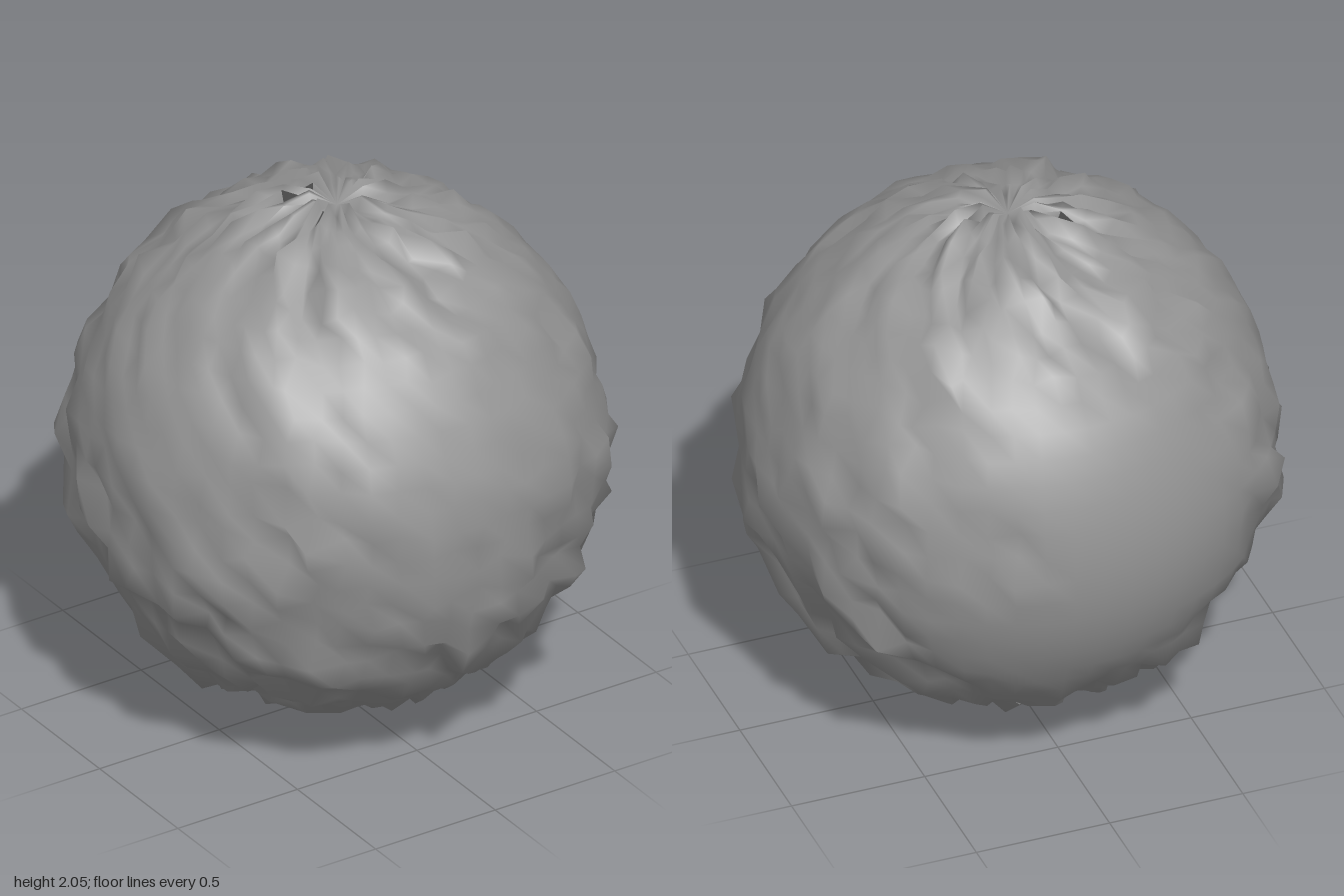
import * as THREE from 'three';
import { mergeVertices } from 'three/addons/utils/BufferGeometryUtils.js';

// Small seeded generator
function seeded(seed) {
  return () => {
    seed = (seed * 1664525 + 1013904223) % 4294967296;
    return seed / 4294967296;
  };
}

const smooth = THREE.MathUtils.smoothstep;

// Directions of the chipped hollows
const CHIPS = [
  [-0.1, -0.38, 0.92], [0.42, -0.15, 0.89], [-0.42, -0.32, 0.85], [0.03, -0.12, 0.99],
  [0.92, -0.3, -0.25], [0.05, 0.88, 0.47], [0.95, 0.3, -0.06], [0.78, 0.4, -0.49],
  [0.42, 0.13, -0.9], [-0.97, 0.07, -0.19],
].map(([x, y, z]) => new THREE.Vector3(x, y, z).normalize());

// How strongly a direction lies within a chip, from 0 to 1
function chipped(d) {
  return Math.max(...CHIPS.map((chip) => smooth(d.dot(chip), 0.975, 0.995)));
}

// Sphere with a welded seam, roughened everywhere except a smooth back patch
function boulderGeometry() {
  const sphere = new THREE.SphereGeometry(1, 56, 32);
  sphere.deleteAttribute('uv');
  sphere.deleteAttribute('normal');
  const geometry = mergeVertices(sphere, 1e-4);
  const pos = geometry.attributes.position;
  const random = seeded(71);
  const d = new THREE.Vector3();

  for (let i = 0; i < pos.count; i++) {
    d.fromBufferAttribute(pos, i).normalize();
    const a = random(), b = random() - 0.5, c = random() - 0.5, e = random() - 0.5;
    const rim = Math.hypot(d.x, d.z);
    const chip = chipped(d);
    const rough = 1 - smooth(-d.z, 0.6, 0.85);
    const calm = 1 - 0.65 * smooth(d.y * 0.5 + Math.max(d.z, Math.abs(d.x)) * 0.85, 0.7, 0.95);
    const amount = Math.max(rough * calm, chip);
    let radius = 0.947 + amount * 0.052 * (a * a - 0.36) - 0.012 * chip;
    // Folded ridges around the puckered poles, taller towards the back
    if (rim > 0.03) {
      const height = 0.02 + 0.035 * smooth(-d.z, -0.05, 0.05);
      radius += height * a * (1 - smooth(rim, 0.12, 0.4));
    }
    const slide = 0.055 * amount * smooth(rim, 0.1, 0.5);
    pos.setXYZ(
      i,
      d.x * radius + b * slide,
      1 + d.y * radius + c * slide,
      d.z * radius + e * slide - 0.012,
    );
  }
  geometry.computeVertexNormals();
  return geometry;
}

export function createModel() {
  const group = new THREE.Group();
  group.name = 'boulder';
  const stone = new THREE.MeshStandardMaterial({ color: 0x949494 });
  stone.name = 'stone grey';
  const rock = new THREE.Mesh(boulderGeometry(), stone);
  rock.name = 'rock';
  group.add(rock);
  return group;
}
